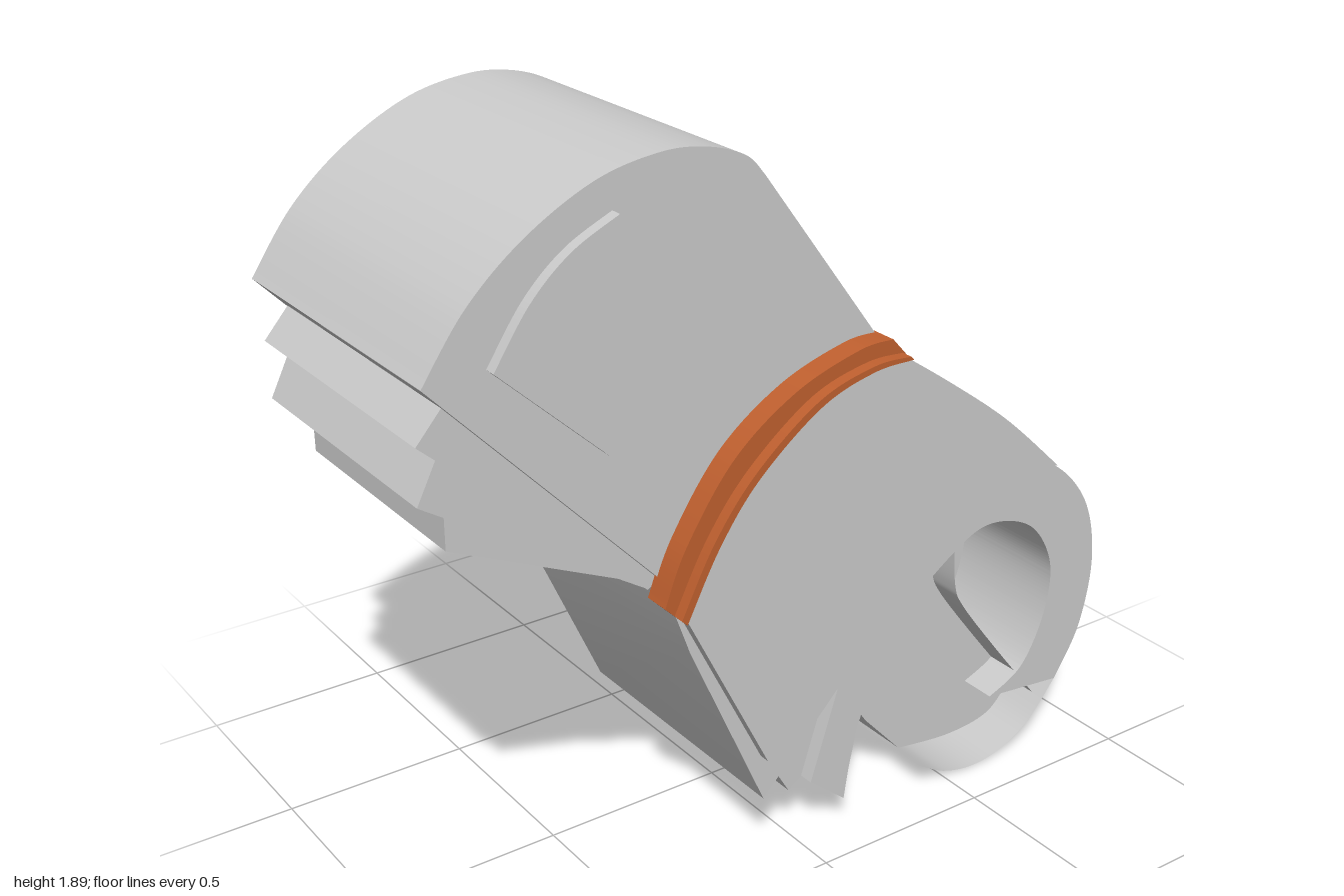
import * as THREE from 'three';
import { toCreasedNormals } from 'three/addons/utils/BufferGeometryUtils.js';

const grey = new THREE.MeshStandardMaterial({ color: 0xcccccc, side: THREE.DoubleSide });
const brown = new THREE.MeshStandardMaterial({ color: 0xc0602f, side: THREE.DoubleSide });
const v = ([x, y]) => new THREE.Vector2(x, y);

// Outline from pieces: a lone [x, y] is a straight corner, a list of points is a smooth run
function outline(...pieces) {
  const shape = new THREE.Shape();
  pieces.forEach((p, i) => {
    const run = Array.isArray(p[0]) ? p : [p];
    if (i === 0) shape.moveTo(...run[0]);
    else shape.lineTo(...run[0]);
    if (run.length > 1) shape.splineThru(run.slice(1).map(v));
  });
  return shape;
}

// Extrude an outline between two depths
function slab(name, shape, z0, z1, material = grey) {
  const geo = new THREE.ExtrudeGeometry(shape, { depth: z1 - z0, bevelEnabled: false, curveSegments: 28 });
  geo.translate(0, 0, z0);
  const mesh = new THREE.Mesh(toCreasedNormals(geo, 0.5), material);
  mesh.name = name;
  return mesh;
}

// Open sheet of no thickness, swept along z
function sheet(name, pts, half) {
  const path = new THREE.SplineCurve(pts.map(v)).getPoints(32);
  const geo = new THREE.PlaneGeometry(1, 1, 32, 1);
  const pos = geo.attributes.position;
  for (let i = 0; i < pos.count; i++) {
    const p = path[i % 33];
    pos.setXYZ(i, p.x, p.y, i < 33 ? half : -half);
  }
  geo.computeVertexNormals();
  const mesh = new THREE.Mesh(geo, grey);
  mesh.name = name;
  return mesh;
}

export function createModel() {
  const model = new THREE.Group();
  const both = (name, shape, a, b, mat) => model.add(
    slab(name + 'Front', shape, a, b, mat), slab(name + 'Back', shape, -b, -a, mat));

  // Pinched outer wrap
  model.add(slab('outerWrap', outline(
    [-0.42, 0.89], [-0.12, 0.30],
    [[-0.12, 0.30], [-0.05, 0.36], [0.11, 0.56], [0.25, 0.71], [0.43, 0.83], [0.63, 0.885], [0.81, 0.855]],
    [[0.81, 0.855], [0.62, 1.03], [0.42, 1.18], [0.20, 1.33]],
    [[-0.15, 1.80], [-0.20, 1.85], [-0.30, 1.885], [-0.42, 1.893], [-0.58, 1.86], [-0.75, 1.77], [-0.89, 1.65], [-1, 1.50]],
  ), -0.41, 0.41));

  // Rolled end, with the folds below the wrap
  model.add(slab('rolledEnd', outline(
    [-0.12, 0.30], [-0.11, 0.17], [0.12, 0.41], [0.04, 0.16], [0.15, 0.07],
    [[0.15, 0.07], [0.17, 0.19], [0.21, 0.33], [0.33, 0.55], [0.50, 0.69], [0.62, 0.73], [0.76, 0.68],
      [0.84, 0.55], [0.83, 0.40], [0.76, 0.26], [0.65, 0.20]],
    [0.89, 0.175],
    [[0.89, 0.175], [0.97, 0.32], [1, 0.52], [0.95, 0.71], [0.81, 0.85], [0.63, 0.88], [0.43, 0.825],
      [0.25, 0.70], [0.11, 0.55], [-0.05, 0.35]],
  ), -0.38, 0.38));
  model.add(sheet('rollUnderside',
    [[0.89, 0.175], [0.80, 0.07], [0.70, 0.015], [0.60, 0], [0.50, 0.02], [0.41, 0.07]], 0.38));

  // Curled core and the shadowed hollow beside it
  model.add(slab('curledCore', outline(
    [[0.50, 0.69], [0.33, 0.55], [0.21, 0.33]], [0.30, 0.20], [0.42, 0.07],
    [[0.42, 0.07], [0.60, 0.05], [0.74, 0.07], [0.82, 0.15]], [0.53, 0.53],
  ), -0.28, 0.28));
  model.add(sheet('innerCurl', [[0.50, 0.69], [0.51, 0.58], [0.54, 0.51], [0.66, 0.35], [0.82, 0.15]], 0.37));
  model.add(slab('hollowWall', outline(
    [0.50, 0.69], [0.53, 0.53], [0.82, 0.15], [0.90, 0.45], [0.80, 0.70], [0.62, 0.78],
  ), -0.04, 0.04));

  // Narrow folds along the lower left
  model.add(slab('lowerFold', outline([-0.41, 0.88], [-0.33, 0.66], [-0.11, 0.17], [-0.12, 0.32]), -0.38, 0.38));
  model.add(slab('smallFold', outline([0.13, 0.42], [-0.06, 0.23], [0, 0.13], [0.06, 0.17]), -0.34, 0.34));

  // Layers fanning out below the open end
  const layers = [
    [[-0.93, 1.44], [-1, 1.36], 0.37],
    [[-0.95, 1.32], [-1, 1.22], 0.36],
    [[-0.92, 1.18], [-0.92, 1.08], 0.32],
  ];
  layers.forEach(([a, b, half], i) => model.add(
    slab('layer' + (i + 1), outline([-0.38, 0.90], a, b, [-0.44, 0.86]), -half, half)));

  // Raised side panels
  both('sidePanel', outline(
    [-0.33, 1.55], [[-0.54, 1.79], [-0.66, 1.73], [-0.76, 1.64], [-0.85, 1.51]],
    [[-0.58, 1.26], [-0.53, 1.37], [-0.44, 1.47], [-0.33, 1.55]],
  ), 0.40, 0.44);

  // Strap: curved sides, a projecting lip on each, and the bar across the top
  const lower = [[0.22, 1.315], [0.10, 1.31], [-0.05, 1.26], [-0.22, 1.13], [-0.33, 0.99], [-0.42, 0.82]];
  both('strapSide', outline(
    [[-0.46, 0.86], [-0.40, 1.00], [-0.27, 1.18], [-0.10, 1.30], [0.08, 1.36], [0.18, 1.365]], lower,
  ), 0.40, 0.47, brown);
  both('strapLip', outline(
    lower, [[-0.435, 0.835], [-0.345, 1.005], [-0.23, 1.147], [-0.058, 1.277], [0.10, 1.325], [0.21, 1.325]],
  ), 0.40, 0.50, brown);
  model.add(slab('strapBar', outline([0.13, 1.365], [0.18, 1.365], [0.225, 1.315], [0.13, 1.315]), -0.47, 0.47, brown));

  return model;
}
